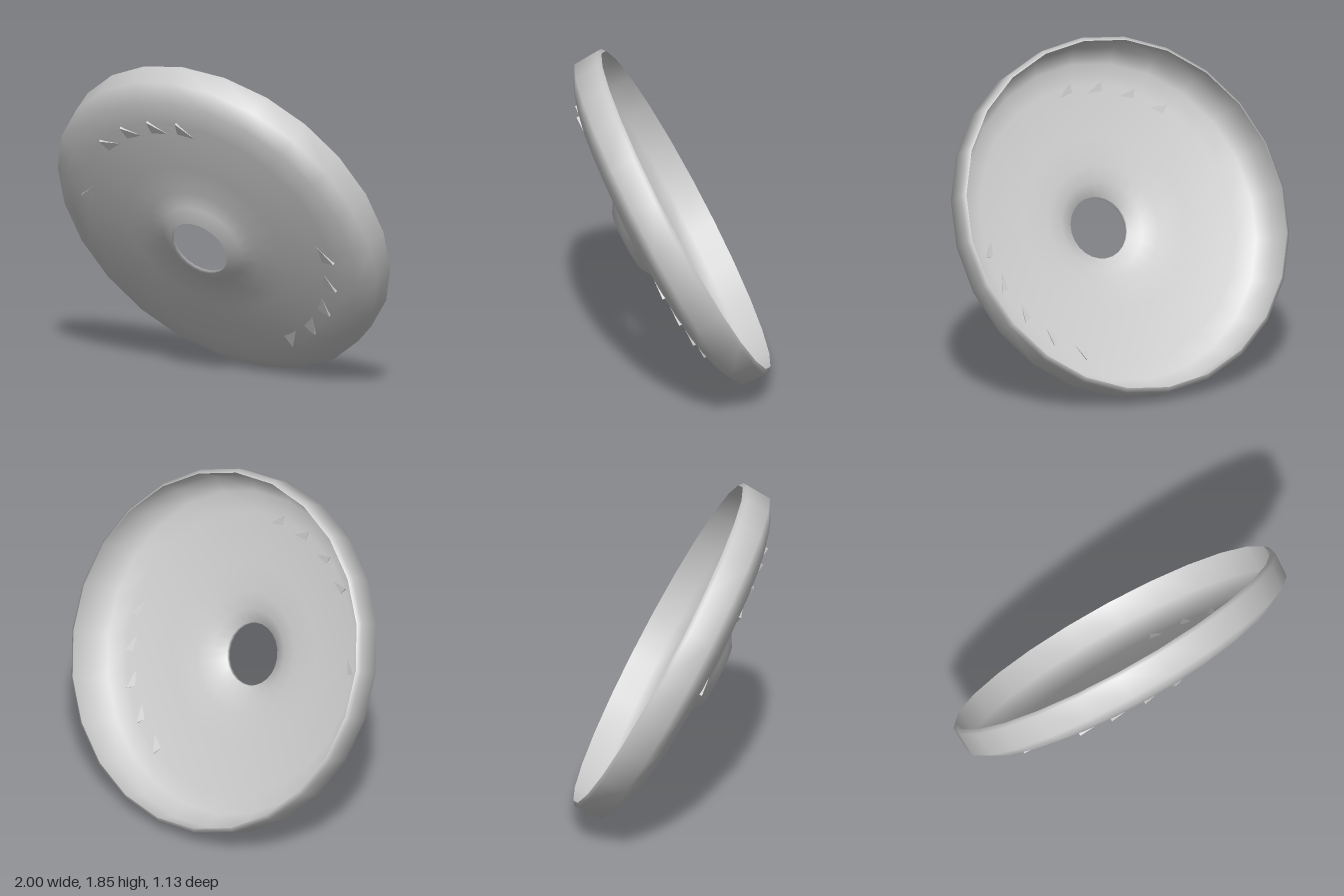
import * as THREE from 'three';

export function createModel() {
  const group = new THREE.Group();
  const mat = new THREE.MeshStandardMaterial({ color: 0xcccccc, side: THREE.DoubleSide });

  // Tilted frame: local y is the dish axis (convex side), local z leans towards up
  const axis = new THREE.Vector3(0.18, -0.466, 0.866).normalize();
  const up = new THREE.Vector3(0, 1, 0);
  const lean = up.clone().addScaledVector(axis, -up.dot(axis)).normalize();
  const side = new THREE.Vector3().crossVectors(axis, lean);
  const dish = new THREE.Group();
  dish.name = 'dish';
  dish.quaternion.setFromRotationMatrix(new THREE.Matrix4().makeBasis(side, axis, lean));
  dish.position.set(0, 0.935, 0);
  group.add(dish);

  // Thin closed shell: rim, outer face, collar and hole edge, then back along the inside
  const profile = [
    [0.99, -0.08], [1.013, -0.06], [1.006, 0.08], [0.91, 0.137], [0.79, 0.172], [0.5, 0.202],
    [0.34, 0.218], [0.25, 0.245], [0.175, 0.288], [0.175, 0.262],
    [0.25, 0.225], [0.34, 0.202], [0.5, 0.188], [0.79, 0.16], [0.9, 0.122], [0.98, 0.065], [0.99, -0.08],
  ].map(([r, y]) => new THREE.Vector2(r, y));
  const shell = new THREE.Mesh(new THREE.LatheGeometry(profile, 24), mat);
  shell.name = 'shell';
  dish.add(shell);

  // Small triangular creases on the face, showing on both sides of the shell
  const corners = [[-0.075, 0.184, 0.8], [-0.075, 0.177, 0.705], [0.07, 0.177, 0.695], [-0.075, 0.147, 0.8]];
  const faces = [0, 1, 2, 3, 2, 1, 0, 3, 1, 0, 2, 3];
  const creaseGeo = new THREE.BufferGeometry();
  creaseGeo.setAttribute('position', new THREE.Float32BufferAttribute(faces.flatMap((i) => corners[i]), 3));
  creaseGeo.computeVertexNormals();
  const addCrease = (deg, mirror) => {
    const crease = new THREE.Mesh(creaseGeo, mat);
    crease.name = 'crease';
    crease.rotation.y = THREE.MathUtils.degToRad(-deg);
    crease.scale.x = mirror;
    dish.add(crease);
  };
  for (const deg of [90, 105, 120, 135, 150]) addCrease(deg, 1);
  for (const deg of [-72, -37, -22, -7, 7]) addCrease(deg, -1);
  return group;
}
